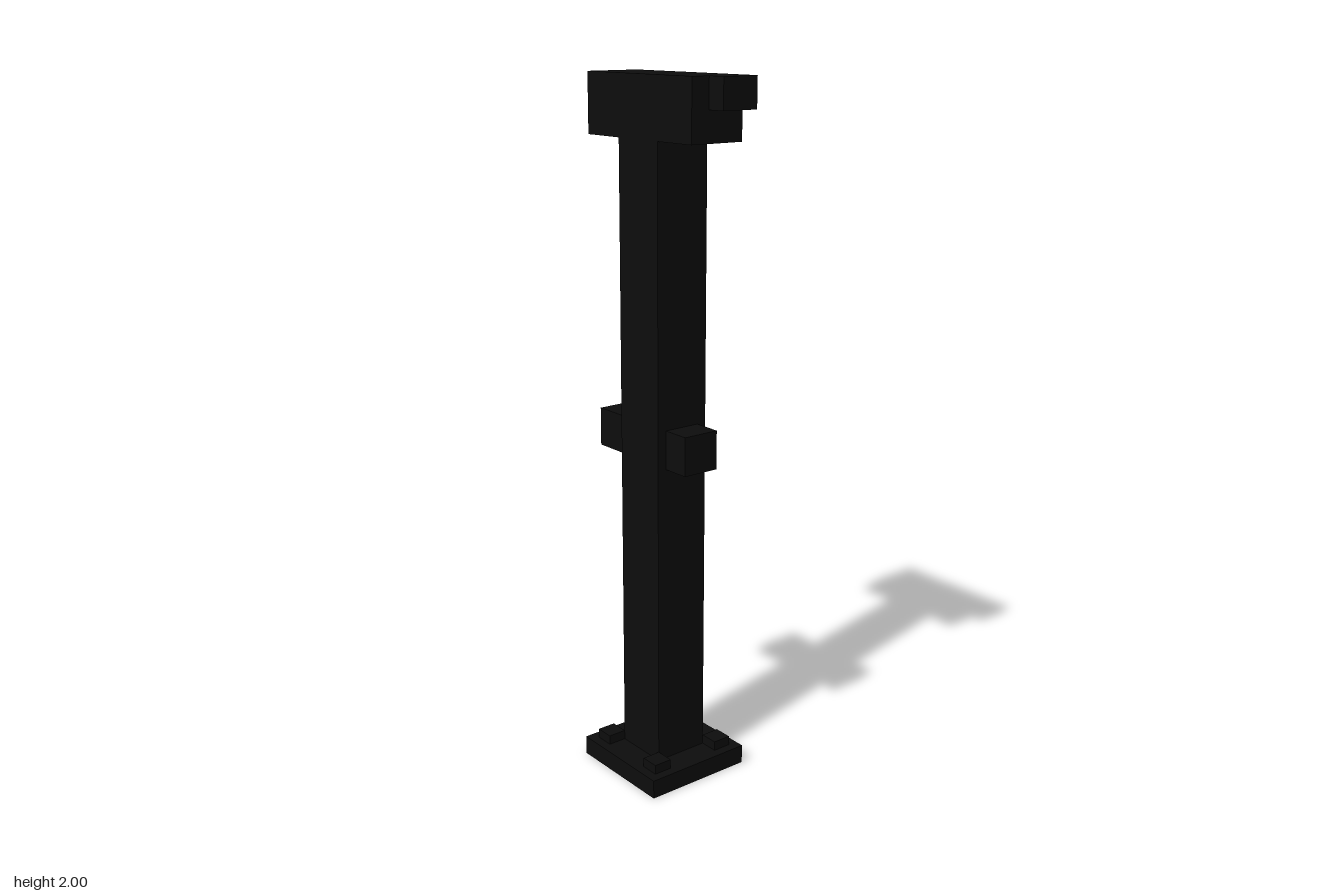
import * as THREE from 'three';

export function createModel() {
  const model = new THREE.Group();
  const black = new THREE.MeshStandardMaterial({ color: 0x0d0d0d });
  black.name = 'black';

  const U = 1 / 18;      // modelling unit
  const CX = -U / 2;     // post axis sits slightly to the right

  // Box from its minimum and maximum corners, in units relative to the post axis
  function box(name, [x0, y0, z0], [x1, y1, z1]) {
    const geometry = new THREE.BoxGeometry((x1 - x0) * U, (y1 - y0) * U, (z1 - z0) * U);
    const mesh = new THREE.Mesh(geometry, black);
    mesh.name = name;
    mesh.position.set(CX + (x0 + x1) / 2 * U, (y0 + y1) / 2 * U, (z0 + z1) / 2 * U);
    model.add(mesh);
  }

  // Foot plate with a bolt at each corner
  box('basePlate', [-3, 0, -3], [3, 1, 3]);
  for (const x of [-2, 2]) {
    for (const z of [-2, 2]) {
      box('bolt', [x - 0.5, 1, z - 0.5], [x + 0.5, 1.5, z + 0.5]);
    }
  }

  // Square post
  box('post', [-1.5, 1, -1.5], [1.5, 33, 1.5]);

  // Side pegs halfway up, the right one longer
  box('rightPeg', [-4, 17, -1], [-1.5, 19, 1]);
  box('leftPeg', [1.5, 17, -1], [3, 19, 1]);

  // Head block and the small lug on its left end
  box('head', [-4, 33, -1.5], [4, 36, 1.5]);
  box('lug', [4, 34.5, -1.5], [5, 36, 0.5]);

  return model;
}
